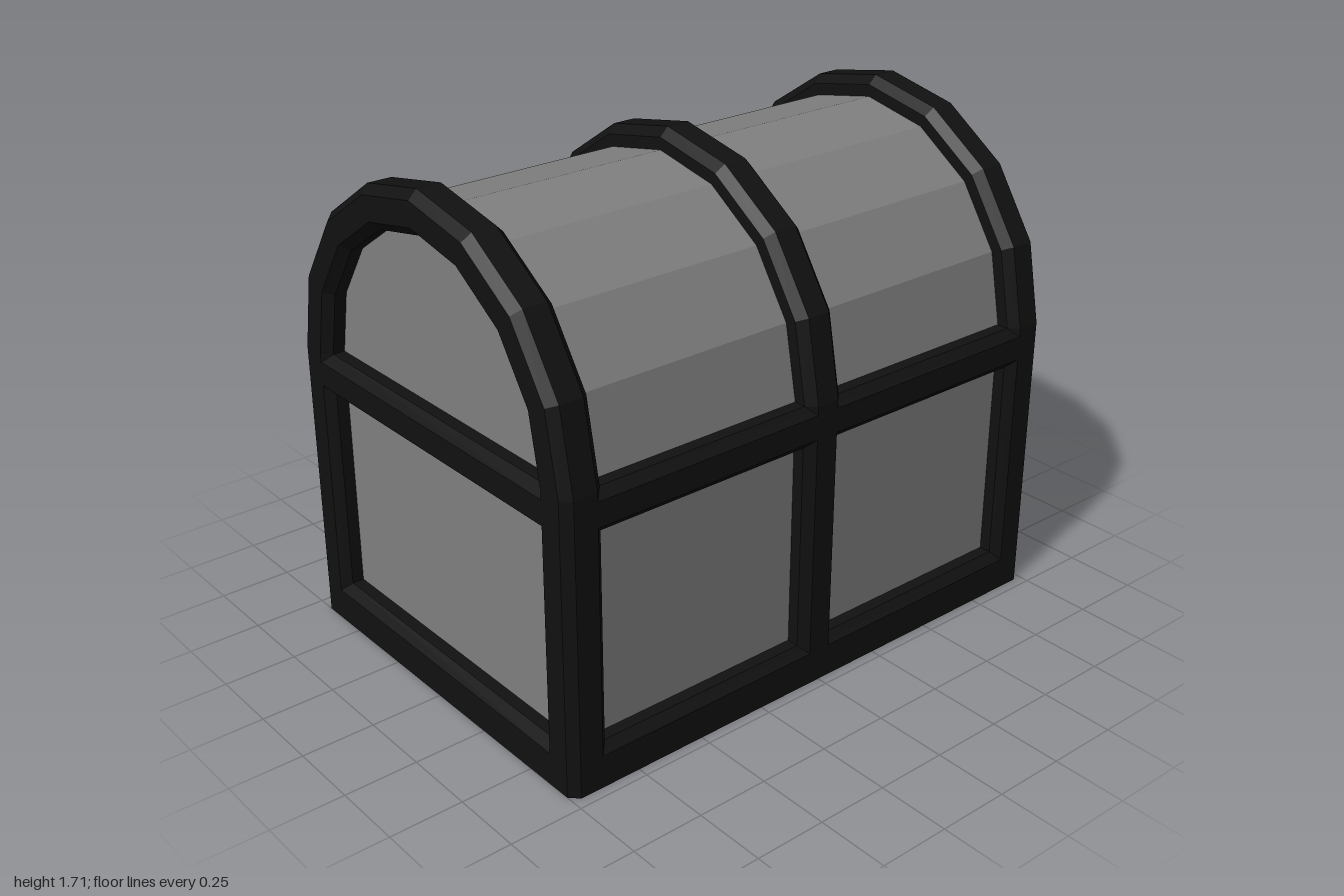
import * as THREE from 'three';

const H = 0.0715;   // half thickness of every bar
const C = 0.03;     // chamfer
const R = 0.6425;   // bar centre line, also the panel radius
const X = 1 - H;    // centre of the end frames
const ARC = 8;      // facets of the lid

// Chamfered square section, counter-clockwise in (u, v); optionally square on the -u side
function section(squareLow = false) {
  const k = H - C;
  const low = squareLow ? [[-H, H], [-H, -H]] : [[-k, H], [-H, k], [-H, -k], [-k, -H]];
  return [[k, -H], [H, -k], [H, k], [k, H], ...low];
}

// Skin a list of equal rings and close both ends, with flat facets
function loft(rings) {
  const pos = [];
  const n = rings[0].length;
  const tri = (a, b, c) => pos.push(...a, ...b, ...c);
  for (let k = 0; k < rings.length - 1; k++) {
    for (let j = 0; j < n; j++) {
      const a = rings[k][j], b = rings[k][(j + 1) % n];
      const d = rings[k + 1][j], c = rings[k + 1][(j + 1) % n];
      tri(a, b, c);
      tri(a, c, d);
    }
  }
  const first = rings[0], last = rings[rings.length - 1];
  for (let j = 1; j < n - 1; j++) {
    tri(first[0], first[j + 1], first[j]);
    tri(last[0], last[j], last[j + 1]);
  }
  return flat(pos);
}

function flat(pos) {
  const g = new THREE.BufferGeometry();
  g.setAttribute('position', new THREE.Float32BufferAttribute(pos, 3));
  g.computeVertexNormals();
  return g;
}

// Arched outline in (z, y): up the front, over the lid, down the back
function arch(r) {
  const pts = [[r, 0]];
  for (let i = 0; i <= ARC; i++) {
    const a = (i / ARC) * Math.PI;
    pts.push([r * Math.cos(a), 1 + r * Math.sin(a)]);
  }
  pts.push([-r, 0]);
  return pts;
}

// Arched rib standing across the chest at x
function ribGeometry(x) {
  const sec = section();
  const paths = sec.map(([u]) => arch(R + u));
  return loft(paths[0].map((_, i) => sec.map(([, v], j) => [x + v, paths[j][i][1], paths[j][i][0]])));
}

// Straight bars along x (front and back) and along z (ends)
const barX = (y, z, sec) =>
  loft([-X, X].map((x) => sec.map(([u, v]) => [x, y + u, z + v])));
const barZ = (y, x, sec) =>
  loft([-R, R].map((z) => sec.map(([u, v]) => [x - v, y + u, z])));

export function createModel() {
  const chest = new THREE.Group();
  chest.name = 'chest';
  const frameMat = new THREE.MeshStandardMaterial({ color: 0x111111 });
  frameMat.name = 'black frame';
  const panelMat = new THREE.MeshStandardMaterial({ color: 0x808080, side: THREE.DoubleSide });
  panelMat.name = 'grey panel';
  const add = (name, geometry, material) => {
    const mesh = new THREE.Mesh(geometry, material);
    mesh.name = name;
    chest.add(mesh);
    return mesh;
  };

  // Three arched ribs
  add('rightRib', ribGeometry(-X), frameMat);
  add('middleRib', ribGeometry(0), frameMat);
  add('leftRib', ribGeometry(X), frameMat);

  // Base and belt rails on all four sides
  for (const [level, y, sec] of [['base', H, section(true)], ['belt', 1 - H, section()]]) {
    add(level + 'RailFront', barX(y, R, sec), frameMat);
    add(level + 'RailBack', barX(y, -R, sec), frameMat);
    add(level + 'RailLeft', barZ(y, X, sec), frameMat);
    add(level + 'RailRight', barZ(y, -X, sec), frameMat);
  }

  // Front wall, lid facets and back wall as one thin open shell
  const outline = arch(R);
  const pos = [];
  for (let i = 0; i < outline.length - 1; i++) {
    const [z0, y0] = outline[i], [z1, y1] = outline[i + 1];
    pos.push(-X, y0, z0, X, y0, z0, X, y1, z1, -X, y0, z0, X, y1, z1, -X, y1, z1);
  }
  add('wallAndLidPanels', flat(pos), panelMat);

  // Arched end panels
  const endShape = new THREE.Shape(outline.map(([z, y]) => new THREE.Vector2(z, y)));
  for (const s of [1, -1]) {
    const end = add(s > 0 ? 'leftEndPanel' : 'rightEndPanel', new THREE.ShapeGeometry(endShape), panelMat);
    end.rotation.y = s * Math.PI / 2;
    end.position.x = s * X;
  }
  return chest;
}
